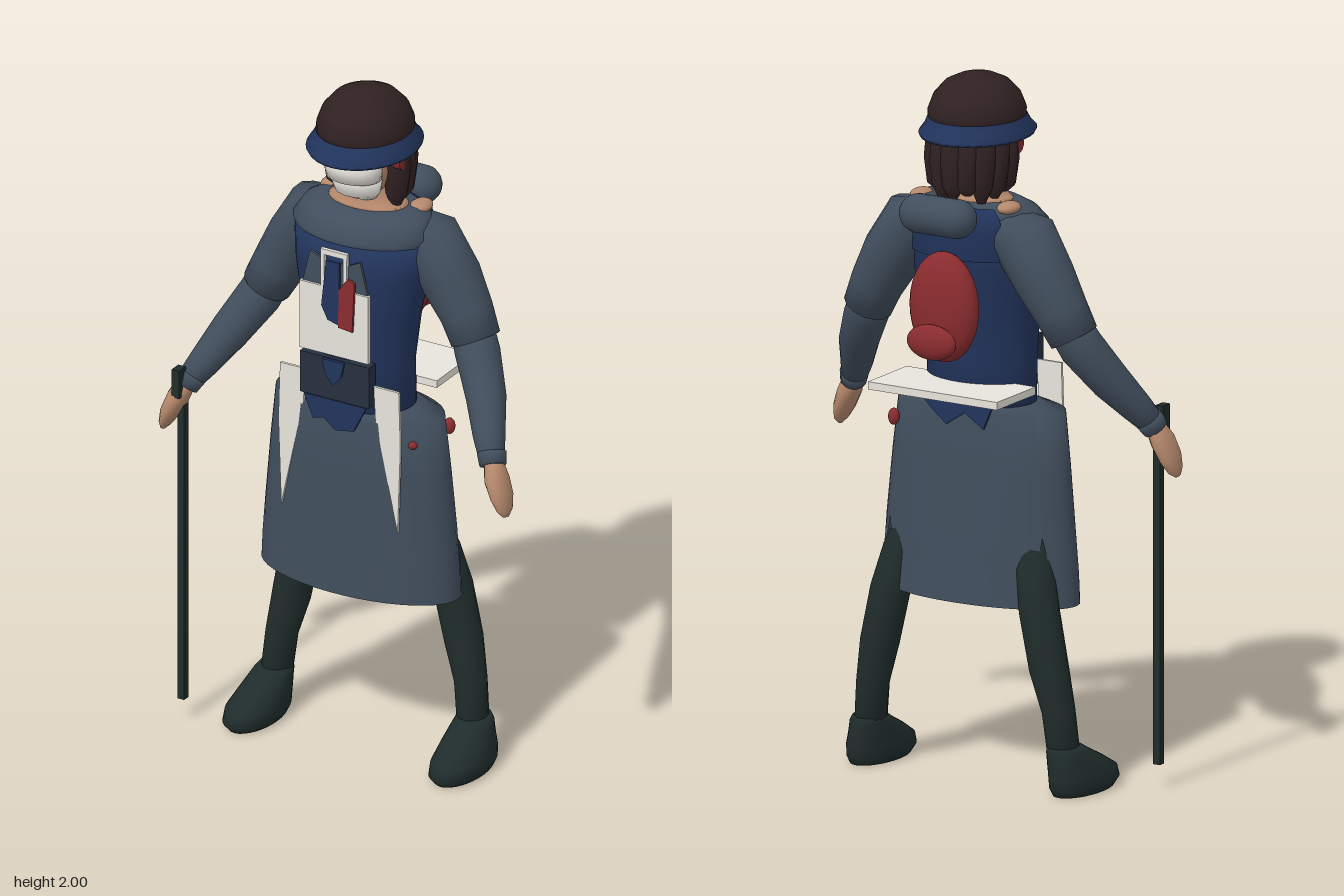
import * as THREE from 'three';

const mat = (name, color, side = THREE.DoubleSide) => {
  const m = new THREE.MeshStandardMaterial({ color, side });
  m.name = name;
  return m;
};

export function createModel() {
  const slate = mat('slate cloth', 0x414e5d), navy = mat('navy cloth', 0x22345c);
  const hair = mat('dark brown', 0x302122), white = mat('off white', 0xe6e4dc);
  const red = mat('dull red', 0x8a2c2f), skin = mat('skin', 0xb5886c);
  const dark = mat('dark green', 0x1f2c2b), pouch = mat('dark slate', 0x263040);

  const model = new THREE.Group();
  model.name = 'figure';
  const add = (name, geo, m, x = 0, y = 0, z = 0) => {
    const mesh = new THREE.Mesh(geo, m);
    mesh.name = name;
    mesh.position.set(x, y, z);
    model.add(mesh);
    return mesh;
  };

  // Joins rings of points into one smooth skin; capped ends, optionally an open seam
  const join = (rings, capped = true, open = false) => {
    const n = rings[0].length, pos = rings.flat().flatMap(p => [p.x, p.y, p.z]), idx = [];
    for (let i = 0; i < rings.length - 1; i++)
      for (let j = 0; j < (open ? n - 1 : n); j++) {
        const k = (j + 1) % n, a = i * n + j, b = i * n + k;
        idx.push(a, b, b + n, a, b + n, a + n);
      }
    if (capped) [0, rings.length - 1].forEach((r, top) => {
      const c = new THREE.Vector3();
      rings[r].forEach(p => c.addScaledVector(p, 1 / n));
      const ci = pos.length / 3;
      pos.push(c.x, c.y, c.z);
      for (let j = 0; j < n; j++) {
        const a = r * n + j, b = r * n + (j + 1) % n;
        top ? idx.push(ci, a, b) : idx.push(ci, b, a);
      }
    });
    const g = new THREE.BufferGeometry();
    g.setAttribute('position', new THREE.Float32BufferAttribute(pos, 3));
    g.setIndex(idx);
    g.computeVertexNormals();
    return g;
  };

  // Horizontal oval ring: [height, centre x, half width, back z, front z]
  const oval = ([y, x, rx, z0, z1], n = 32, from = 0, to = Math.PI * 2) =>
    Array.from({ length: n }, (_, j) => {
      const a = from + (to - from) * j / (to - from > 6.28 ? n : n - 1);
      return new THREE.Vector3(x + rx * Math.sin(a), y, (z0 + z1) / 2 + (z1 - z0) / 2 * Math.cos(a));
    });
  const loft = (rows, capped = true) => join(rows.map(r => oval(r)), capped);

  // Round limb with changing radius: [x, y, z, radius across, radius deep]
  const limb = (pts, side = 1, n = 14) => {
    const v = pts.map(p => new THREE.Vector3(p[0] * side, p[1], p[2]));
    return join(v.map((c, i) => {
      const t = v[Math.min(i + 1, v.length - 1)].clone().sub(v[Math.max(i - 1, 0)]).normalize();
      const f = new THREE.Vector3(0, 0, 1).addScaledVector(t, -t.z).normalize();
      const u = t.clone().cross(f);
      return Array.from({ length: n }, (_, j) => {
        const a = j / n * Math.PI * 2, [, , , r, d = r] = pts[i];
        return c.clone().addScaledVector(u, r * Math.sin(a)).addScaledVector(f, d * Math.cos(a));
      });
    }));
  };

  // Thin flat plate cut from an outline
  const plate = (name, pts, m, z, depth = 0.008) =>
    add(name, new THREE.ExtrudeGeometry(new THREE.Shape(pts.map(p => new THREE.Vector2(...p))),
      { depth, bevelEnabled: false }), m, 0, 0, z);
  const box = (name, w, h, d, m, x, y, z) => add(name, new THREE.BoxGeometry(w, h, d), m, x, y, z);
  const ball = (name, rx, ry, rz, m, x, y, z) =>
    add(name, new THREE.SphereGeometry(1, 24, 16), m, x, y, z).scale.set(rx, ry, rz);

  // Torso, with a navy panel over the back of the yoke
  add('vest', loft([[1.02, 0, 0.165, -0.065, 0.17], [1.2, 0, 0.16, -0.07, 0.185], [1.35, 0, 0.175, -0.09, 0.19],
    [1.48, 0, 0.2, -0.11, 0.19], [1.58, 0, 0.21, -0.12, 0.18]]), navy);
  add('yoke', loft([[1.54, 0, 0.2, -0.1, 0.165], [1.595, 0, 0.212, -0.11, 0.184], [1.635, 0, 0.19, -0.105, 0.14],
    [1.656, 0, 0.15, -0.085, 0.105]]), slate);
  add('backYoke', join([[1.5, 0, 0.203, -0.118, 0.18], [1.58, 0, 0.215, -0.13, 0.18], [1.625, 0, 0.205, -0.122, 0.14],
    [1.648, 0, 0.165, -0.1, 0.11]].map(r => oval(r, 24, 2.35, Math.PI * 2 - 2.35)), false, true), navy);
  add('neck', loft([[1.64, 0, 0.145, -0.08, 0.1], [1.662, 0, 0.11, -0.06, 0.09], [1.69, 0, 0.06, -0.04, 0.07],
    [1.76, 0, 0.055, -0.04, 0.07]]), skin);
  for (const s of [1, -1]) ball('bareShoulder', 0.03, 0.018, 0.04, skin, s * 0.142, 1.648, -0.03);

  // Skirt: front and back panels with a slit on each side that widens to the hem
  const skirtRows = [[0.52, 0, 0.31, -0.095, 0.195], [0.6, 0, 0.305, -0.092, 0.195], [0.66, 0, 0.3, -0.09, 0.194],
    [0.72, 0, 0.295, -0.088, 0.193], [0.9, 0, 0.278, -0.08, 0.19], [1.06, 0, 0.26, -0.072, 0.187], [1.075, 0, 0.16, -0.06, 0.17]];
  const panel = (centre, half) => join(skirtRows.map(r => {
    const h = half - Math.max(0, 0.72 - r[0]);
    return oval(r, 28, centre - h, centre + h);
  }), false, true);
  add('skirtFront', panel(0, 2.15), slate);
  add('skirtBack', panel(Math.PI, Math.PI - 2.15), slate);
  plate('frontHem', [[-0.1, 1.11], [-0.07, 1.04], [-0.035, 1.05], [0, 1.02], [0.06, 1.03], [0.1, 1.11]], navy, 0.188);
  plate('backHem', [[-0.13, 1.11], [-0.09, 1.02], [-0.03, 1.06], [0.03, 1.02], [0.08, 1.06], [0.13, 1.11]], navy, -0.082);
  ball('sideButton', 0.016, 0.024, 0.016, red, 0.236, 1.0, -0.025);
  ball('frontButton', 0.014, 0.012, 0.012, red, 0.212, 1.0, 0.133);

  // Limbs, mirrored
  for (const s of [1, -1]) {
    add('upperSleeve', limb([[0.11, 1.59, 0, 0.055, 0.085], [0.18, 1.56, -0.01, 0.092, 0.095], [0.247, 1.46, -0.015, 0.086, 0.088],
      [0.3, 1.37, -0.01, 0.076, 0.075], [0.335, 1.3, 0, 0.07]], s), slate);
    add('lowerSleeve', limb([[0.31, 1.35, -0.01, 0.06], [0.35, 1.27, 0.015, 0.063], [0.41, 1.17, 0.07, 0.056],
      [0.455, 1.09, 0.13, 0.045], [0.485, 1.04, 0.165, 0.036]], s), slate);
    add('cuff', limb([[0.478, 1.055, 0.155, 0.041], [0.492, 1.025, 0.172, 0.037]], s), slate);
    add('hand', limb([[0.488, 1.04, 0.165, 0.026], [0.51, 0.99, 0.18, 0.03, 0.045], [0.53, 0.945, 0.187, 0.026, 0.044],
      [0.543, 0.91, 0.193, 0.016, 0.032], [0.549, 0.892, 0.197, 0.006, 0.012]], s), skin);
    add('leg', limb([[0.13, 0.92, 0.06, 0.06], [0.175, 0.74, 0.035, 0.058], [0.215, 0.62, -0.012, 0.058],
      [0.243, 0.51, -0.032, 0.058, 0.054], [0.275, 0.36, -0.035, 0.056, 0.054], [0.302, 0.24, -0.028, 0.046, 0.048],
      [0.315, 0.11, -0.02, 0.043, 0.05]], s), dark);
    add('shoe', loft([[0.004, s * 0.33, 0.062, -0.07, 0.18], [0.025, s * 0.33, 0.073, -0.08, 0.2], [0.055, s * 0.329, 0.072, -0.083, 0.19],
      [0.09, s * 0.324, 0.063, -0.082, 0.13], [0.125, s * 0.32, 0.054, -0.08, 0.06], [0.14, s * 0.317, 0.047, -0.075, 0.035]]), dark);
  }

  // Head, mask and ear discs
  ball('head', 0.09, 0.11, 0.105, skin, 0, 1.79, 0.03);
  add('maskLower', loft([[1.685, 0, 0.05, 0.03, 0.09], [1.705, 0, 0.066, 0.02, 0.125], [1.76, 0, 0.08, 0.02, 0.146]]), white);
  add('maskUpper', loft([[1.757, 0, 0.082, 0.03, 0.157], [1.79, 0, 0.085, 0.03, 0.162], [1.822, 0, 0.083, 0.03, 0.16]]), white);
  box('eyeStrip', 0.12, 0.02, 0.03, hair, 0, 1.832, 0.125);
  for (const s of [1, -1]) {
    const disc = add('earDisc', new THREE.CylinderGeometry(0.026, 0.026, 0.024, 16), red, s * 0.118, 1.81, 0.04);
    disc.rotation.z = Math.PI / 2;
  }

  // Hair locks around the sides and back
  for (let i = 0; i < 9; i++) {
    const a = 1.45 + i * (Math.PI * 2 - 2.9) / 8, sx = Math.sin(a), cz = Math.cos(a);
    const end = 1.655 + (i % 3) * 0.012;
    add('hairLock', limb([[0.095 * sx, 1.87, 0.02 + 0.1 * cz, 0.038], [0.1 * sx, 1.77, 0.01 + 0.1 * cz, 0.038],
      [0.095 * sx, 1.7, 0.01 + 0.1 * cz, 0.032], [0.092 * sx, end, 0.01 + 0.1 * cz, 0.012]], 1, 8), hair);
  }

  // Cap with brim
  add('cap', loft([[1.85, 0, 0.132, -0.115, 0.175], [1.9, 0, 0.132, -0.118, 0.178], [1.94, 0, 0.118, -0.1, 0.16],
    [1.975, 0, 0.088, -0.065, 0.125], [1.993, 0, 0.05, -0.025, 0.085], [2, 0, 0.015, 0.015, 0.045]]), hair);
  add('brim', loft([[1.85, 0, 0.12, -0.11, 0.17], [1.828, 0, 0.15, -0.146, 0.212], [1.838, 0, 0.155, -0.15, 0.218],
    [1.858, 0, 0.142, -0.128, 0.195], [1.882, 0, 0.132, -0.118, 0.18]], false), navy);

  // Chest board, clip and tags
  plate('chestPanel', [[-0.105, 1.45], [-0.08, 1.55], [-0.03, 1.53], [0.04, 1.53], [0.08, 1.55], [0.105, 1.45]], slate, 0.186);
  box('chestBoard', 0.22, 0.205, 0.014, white, 0, 1.352, 0.194);
  box('clipTop', 0.085, 0.016, 0.012, white, 0, 1.56, 0.196);
  for (const s of [1, -1]) box('clipSide', 0.012, 0.12, 0.012, white, s * 0.036, 1.505, 0.196);
  plate('blueTag', [[-0.035, 1.4], [-0.015, 1.36], [0.022, 1.35], [0.022, 1.54], [-0.02, 1.54]], navy, 0.202);
  plate('redTag', [[0.02, 1.345], [0.065, 1.34], [0.072, 1.49], [0.05, 1.5], [0.022, 1.46]], red, 0.204);

  // Belt pouch and hanging points
  box('beltPouch', 0.22, 0.125, 0.035, pouch, 0, 1.175, 0.18);
  plate('pouchTie', [[-0.035, 1.235], [-0.025, 1.19], [0, 1.16], [0.025, 1.19], [0.035, 1.235]], navy, 0.198);
  for (const s of [1, -1])
    plate('hangingPoint', [[s * 0.19, 1.17], [s * 0.11, 1.17], [s * 0.115, 1.07], [s * 0.186, 0.74], [s * 0.195, 1.0]], white, 0.163);

  // Rear shelf, pack and roll
  box('rearShelf', 0.42, 0.022, 0.2, white, 0, 1.13, -0.1);
  ball('pack', 0.108, 0.157, 0.056, red, 0, 1.37, -0.138);
  ball('packPocket', 0.078, 0.05, 0.03, red, 0, 1.283, -0.204);
  const roll = add('bedroll', new THREE.CapsuleGeometry(0.055, 0.125, 8, 18), slate, 0, 1.635, -0.17);
  roll.rotation.z = Math.PI / 2;

  // Walking cane
  box('cane', 0.022, 0.98, 0.022, dark, -0.497, 0.56, 0.178);
  box('caneHandle', 0.024, 0.085, 0.036, dark, -0.497, 1.045, 0.2);
  return model;
}
